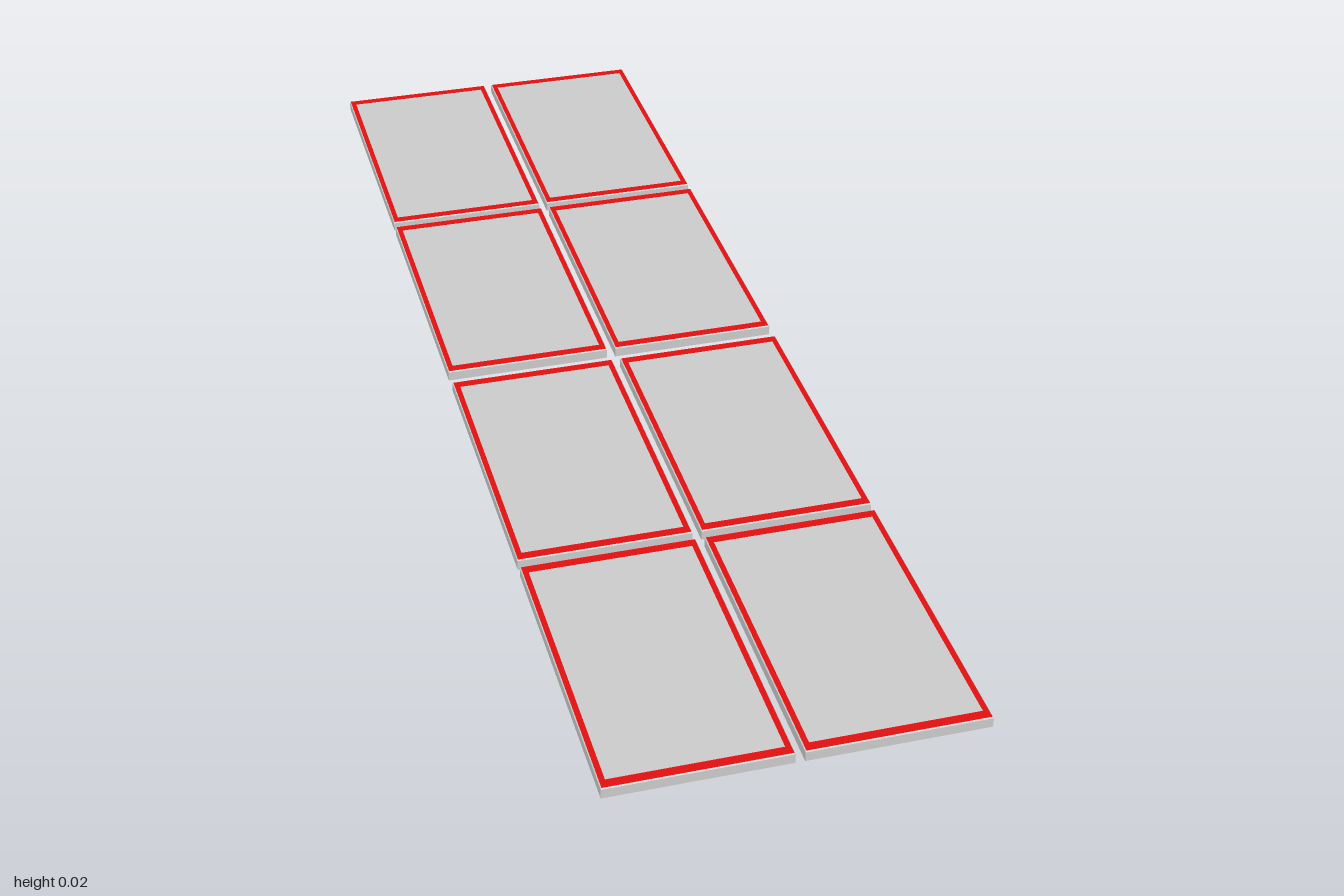
import * as THREE from 'three';

const W = 0.271, L = 0.484, H = 0.017; // one panel
const EDGE = 0.0015;                   // tiny chamfer round the top

// Slab whose top ring is drawn in slightly to break the edge
function slabGeometry() {
  const geo = new THREE.BoxGeometry(W, H, L, 1, 2, 1);
  geo.translate(0, H / 2, 0);
  const p = geo.attributes.position;
  for (let i = 0; i < p.count; i++) {
    const y = p.getY(i);
    if (y > H * 0.75) {
      p.setX(i, p.getX(i) - Math.sign(p.getX(i)) * EDGE);
      p.setZ(i, p.getZ(i) - Math.sign(p.getZ(i)) * EDGE);
    } else if (y > H * 0.25) {
      p.setY(i, H - EDGE);
    }
  }
  geo.computeVertexNormals();
  return geo;
}

function rectangle(target, w, l) {
  target.moveTo(-w / 2, -l / 2);
  target.lineTo(w / 2, -l / 2);
  target.lineTo(w / 2, l / 2);
  target.lineTo(-w / 2, l / 2);
  target.closePath();
  return target;
}

// Flat coloured border lying on the slab's top face
function borderGeometry() {
  const shape = rectangle(new THREE.Shape(), W - 2 * EDGE, L - 2 * EDGE);
  shape.holes.push(rectangle(new THREE.Path(), W - 0.02, L - 0.032));
  const geo = new THREE.ShapeGeometry(shape);
  geo.rotateX(-Math.PI / 2);
  geo.translate(0, H + 0.0004, 0);
  return geo;
}

export function createModel() {
  const model = new THREE.Group();
  model.name = 'panelArray';
  const grey = new THREE.MeshStandardMaterial({ color: 0xcccccc, flatShading: true });
  const red = new THREE.MeshStandardMaterial({ color: 0xe01010, side: THREE.DoubleSide });
  const slab = slabGeometry();
  const border = borderGeometry();

  // Two columns of four panels, with a wider gap across the middle
  for (const x of [-0.1425, 0.1425]) {
    for (const z of [-0.758, -0.258, 0.258, 0.758]) {
      const panel = new THREE.Group();
      panel.name = 'panel';
      const body = new THREE.Mesh(slab, grey);
      body.name = 'panelSlab';
      const edge = new THREE.Mesh(border, red);
      edge.name = 'panelBorder';
      panel.add(body, edge);
      panel.position.set(x, 0, z);
      model.add(panel);
    }
  }
  return model;
}
